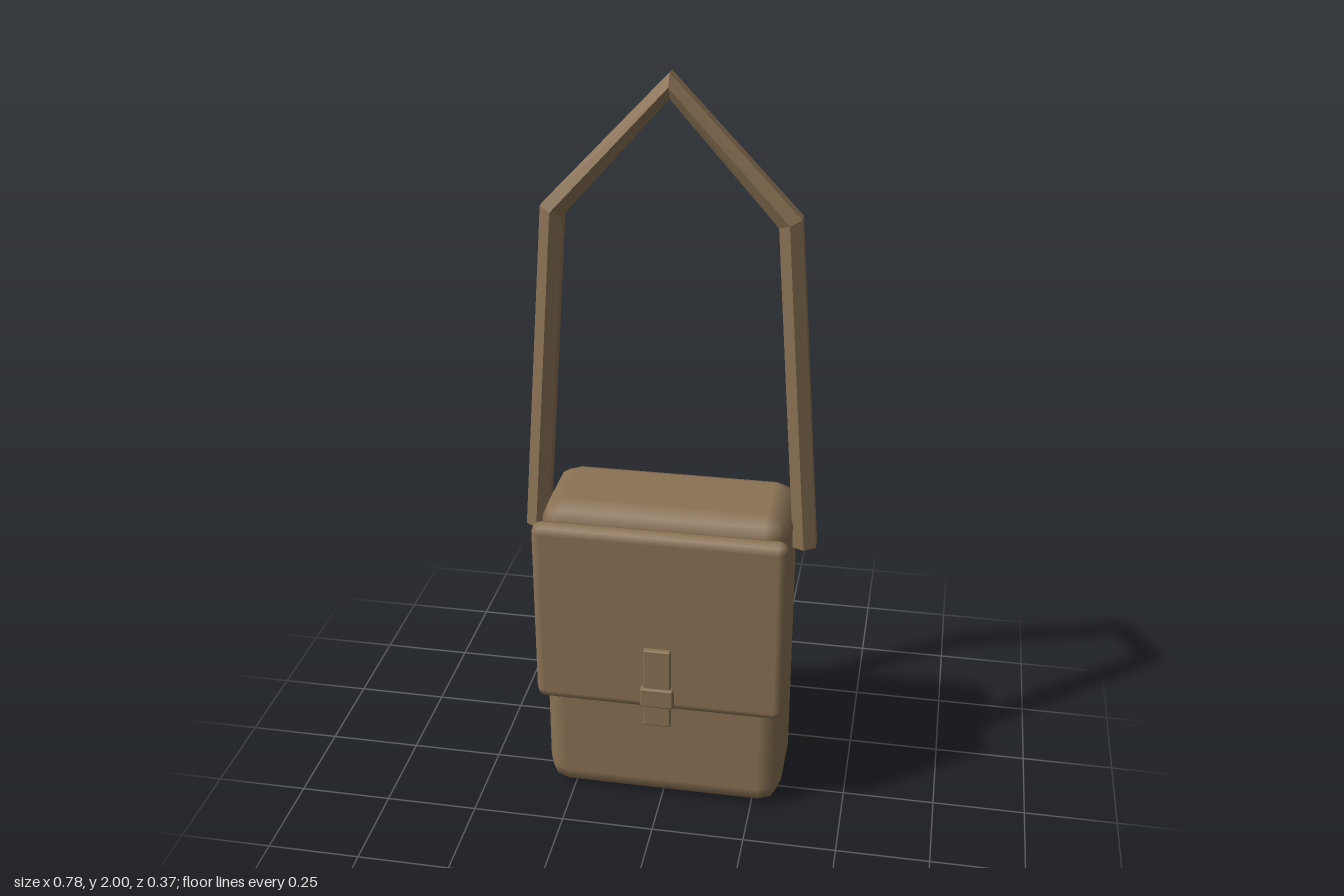
import * as THREE from 'three';
import { RoundedBoxGeometry } from 'three/addons/geometries/RoundedBoxGeometry.js';

// Six-sided band swept along points in the xy plane, with closed ends
function sweepBand(points, radius, z) {
  const sides = 6, last = points.length - 1;
  const dirs = points.slice(1).map((p, i) => p.clone().sub(points[i]).normalize());
  const rings = points.map((p, i) => {
    const t = dirs[Math.max(i - 1, 0)].clone().add(dirs[Math.min(i, last - 1)]).normalize();
    return Array.from({ length: sides }, (_, k) => {
      const a = (k / sides) * Math.PI * 2;
      const out = Math.sin(a) * radius;
      return [p.x + t.y * out, p.y - t.x * out, z + Math.cos(a) * radius];
    });
  });
  const pos = [];
  const tri = (a, b, c) => pos.push(...a, ...b, ...c);
  for (let i = 0; i < last; i++) {
    for (let k = 0; k < sides; k++) {
      const n = (k + 1) % sides;
      const a = rings[i][k], b = rings[i][n], c = rings[i + 1][n], d = rings[i + 1][k];
      tri(a, b, c);
      tri(a, c, d);
    }
  }
  for (let k = 1; k < sides - 1; k++) {
    tri(rings[0][0], rings[0][k + 1], rings[0][k]);
    tri(rings[last][0], rings[last][k], rings[last][k + 1]);
  }
  const g = new THREE.BufferGeometry();
  g.setAttribute('position', new THREE.Float32BufferAttribute(pos, 3));
  g.computeVertexNormals();
  return g;
}

export function createModel() {
  const group = new THREE.Group();
  const leather = new THREE.MeshStandardMaterial({ color: 0x8b7355 });
  leather.name = 'brown leather';

  const add = (name, geometry) => {
    const mesh = new THREE.Mesh(geometry, leather);
    mesh.name = name;
    group.add(mesh);
    return mesh;
  };
  // Rounded box given by half width and its y and z ranges
  const roundedPart = (name, hx, y0, y1, z0, z1, r) =>
    add(name, new RoundedBoxGeometry(hx * 2, y1 - y0, z1 - z0, 1, r))
      .position.set(0, (y0 + y1) / 2, (z0 + z1) / 2);

  // Bag and front flap
  roundedPart('body', 0.328, 0, 0.895, -0.185, 0.108, 0.06);
  roundedPart('flap', 0.337, 0.328, 0.862, 0.104, 0.16, 0.027);

  // Closure
  roundedPart('closureStrap', 0.037, 0.287, 0.525, 0.156, 0.175, 0.005);
  roundedPart('buckle', 0.045, 0.35, 0.408, 0.16, 0.182, 0.006);

  // Carrying strap, from the right side over the top to the left side
  const half = [[0.36, 0.768], [0.295, 1.65]];
  const path = [...half, [0, 1.97], ...half.map(([x, y]) => [-x, y]).reverse()]
    .map(([x, y]) => new THREE.Vector2(x, y));
  const strap = add('shoulderStrap', sweepBand(path, 0.035, -0.035));
  strap.geometry.computeBoundingSphere();

  return group;
}
